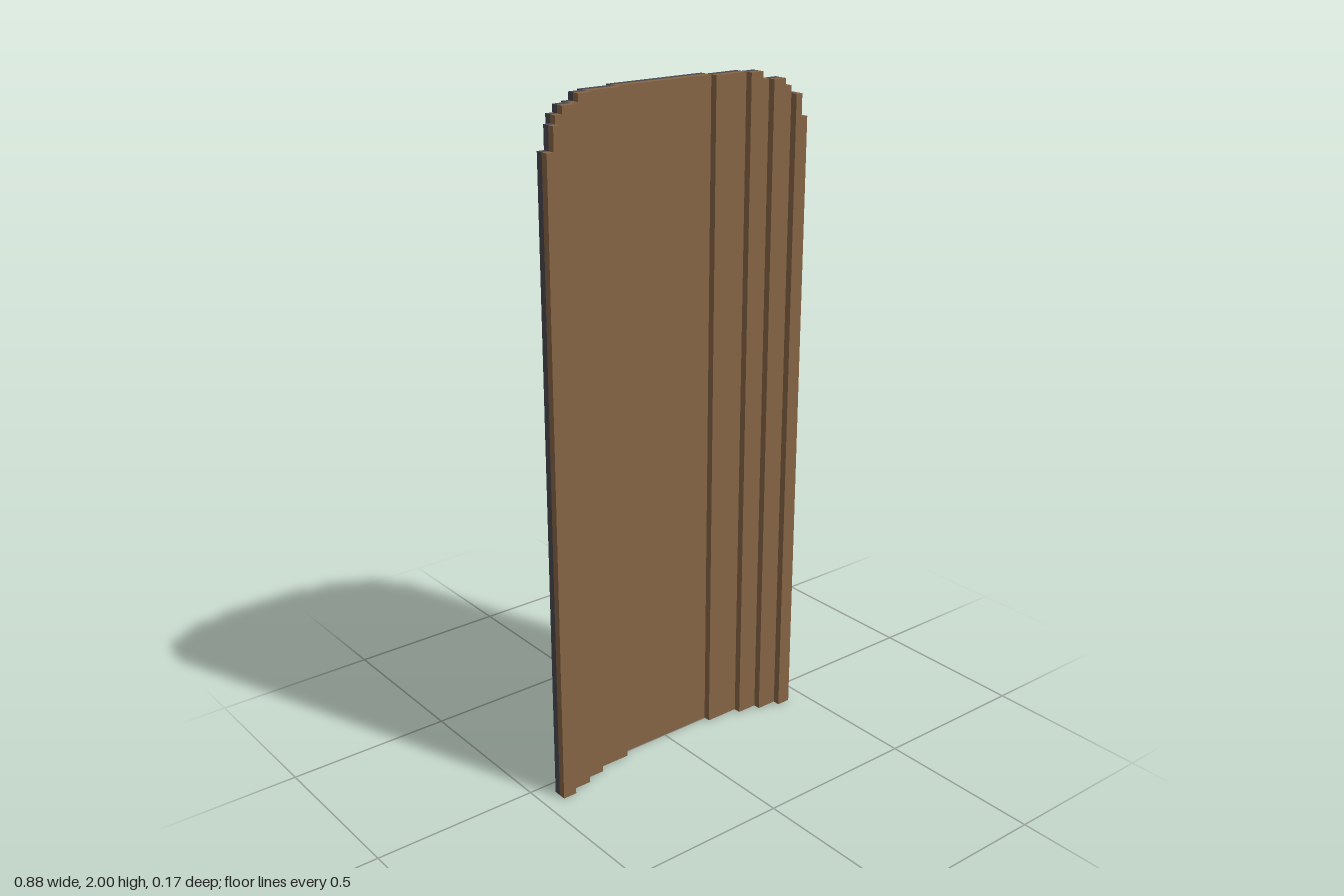
import * as THREE from 'three';
import { mergeGeometries } from 'three/addons/utils/BufferGeometryUtils.js';

// Block size: the shield is 93 blocks tall, 41 wide and 8 deep
const U = 2 / 93;

const wood = new THREE.MeshStandardMaterial({ color: 0x866546 });
wood.name = 'wood';
const iron = new THREE.MeshStandardMaterial({ color: 0x4a4a50 });
iron.name = 'dark iron';
const steel = new THREE.MeshStandardMaterial({ color: 0x667078 });
steel.name = 'blue steel';
const bossMetal = new THREE.MeshStandardMaterial({ color: 0x707477 });
bossMetal.name = 'grey steel';

// Box between block coordinates, one block deep from z
function block(x0, x1, y0, y1, z) {
  const g = new THREE.BoxGeometry((x1 - x0) * U, (y1 - y0) * U, U);
  return g.translate(((x0 + x1) / 2) * U, ((y0 + y1) / 2) * U, (z + 0.5) * U);
}

function part(name, boxes, material) {
  const mesh = new THREE.Mesh(mergeGeometries(boxes), material);
  mesh.name = name;
  return mesh;
}

// Disc made of rows of blocks
function disc(maxSquare, cy, z) {
  const rows = [];
  const r = Math.floor(Math.sqrt(maxSquare));
  for (let dy = -r; dy <= r; dy++) {
    const w = Math.floor(Math.sqrt(maxSquare - dy * dy)) + 0.5;
    rows.push(block(-w, w, cy + dy - 0.5, cy + dy + 0.5, z));
  }
  return rows;
}

// Half of the curved board: inner x, outer x, top, z of the back layer
const columns = [
  [0, 7.5, 93, -2],
  [7.5, 12.5, 93, -1],
  [12.5, 14.5, 93, 0],
  [14.5, 15.5, 92, 0],
  [15.5, 17.5, 92, 1],
  [17.5, 18.5, 91, 1],
  [18.5, 19.5, 90, 2],
  [19.5, 20.5, 87, 2],
];
const bands = [[14, 16], [76, 78]];

export function createModel() {
  const group = new THREE.Group();
  group.name = 'shield';
  const front = [], back = [], rim = [], straps = [];

  columns.forEach(([a, b, top, z], i) => {
    // The centre plank spans both sides, the others are mirrored
    const spans = i === 0 ? [[-b, b]] : [[a, b], [-b, -a]];
    for (const [x0, x1] of spans) {
      front.push(block(x0, x1, 0, top, z + 1));
      if (a >= 18.5) {
        rim.push(block(x0, x1, 0, top, z));
        continue;
      }
      // Back layer: rim at both ends, wood broken by the two bands
      rim.push(block(x0, x1, 0, 2, z), block(x0, x1, top - 2, top, z));
      let y = 2;
      for (const [y0, y1] of bands) {
        back.push(block(x0, x1, y, y0, z));
        straps.push(block(x0, x1, y0, y1, z));
        y = y1;
      }
      back.push(block(x0, x1, y, top - 2, z));
    }
  });

  group.add(
    part('frontPlanks', front, wood),
    part('backPlanks', back, wood),
    part('rim', rim, iron),
    part('bands', straps, steel),
    part('bossBase', disc(16, 50.5, -3), bossMetal),
    part('bossCap', disc(5, 50.5, -4), bossMetal),
  );
  return group;
}
